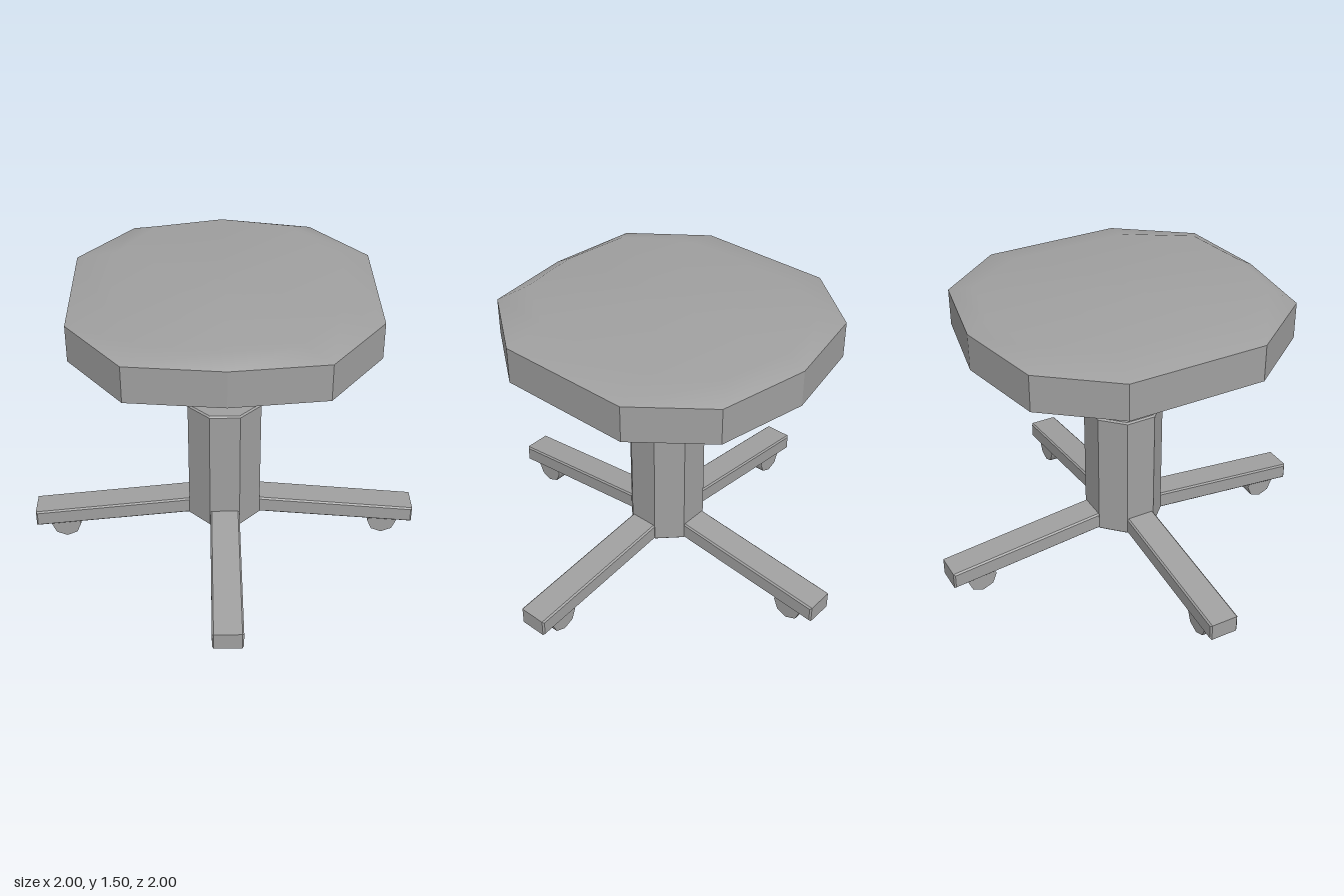
import * as THREE from 'three';
import { toCreasedNormals } from 'three/addons/utils/BufferGeometryUtils.js';

const grey = new THREE.MeshStandardMaterial({ color: 0xa0a0a0 });
grey.name = 'grey';

function part(name, geometry) {
  const mesh = new THREE.Mesh(geometry, grey);
  mesh.name = name;
  return mesh;
}

// Extrudes an outline by depth, with slightly softened edges kept inside it
function softExtrude(points, depth, bevel = 0.008) {
  return new THREE.ExtrudeGeometry(new THREE.Shape(points), {
    depth: depth - 2 * bevel, bevelThickness: bevel, bevelSize: bevel,
    bevelOffset: -bevel, bevelSegments: 1,
  }).translate(0, 0, bevel);
}

// Ten-sided seat outline, mirrored from its left half (back to front)
const half = [[0.46, -0.71], [0.73, -0.37], [0.73, 0.325], [0.46, 0.68]];
const outline = [[0, -0.8], ...half, [0, 0.73], ...half.map(([x, z]) => [-x, z]).reverse()];

// Joins rings of points {scaleX, scaleZ, y}; a zero scale closes the surface
function seatRings(rings) {
  const positions = [], index = [], n = outline.length;
  for (const [sx, sz, y] of rings) {
    for (const [x, z] of outline) positions.push(x * sx, y, z * sz);
  }
  for (let r = 0; r < rings.length - 1; r++) {
    for (let i = 0; i < n; i++) {
      const a = r * n + i, b = r * n + (i + 1) % n;
      if (rings[r][0] > 0) index.push(a, a + n, b);
      if (rings[r + 1][0] > 0) index.push(b, a + n, b + n);
    }
  }
  const geometry = new THREE.BufferGeometry();
  geometry.setAttribute('position', new THREE.Float32BufferAttribute(positions, 3));
  geometry.setIndex(index);
  geometry.computeVertexNormals();
  return geometry;
}

export function createModel() {
  const model = new THREE.Group();
  model.name = 'stool';

  // Seat: softly domed cushion, faceted rim and flat underside
  const seat = new THREE.Group();
  seat.name = 'seat';
  seat.add(
    part('cushionTop', seatRings([[1, 1, 1.44], [0.73, 0.88, 1.49], [0, 0, 1.495]])),
    part('seatRimAndBase', toCreasedNormals(
      seatRings([[0, 0, 1.255], [1, 1, 1.255], [1, 1, 1.44]]), 0.1)),
  );
  model.add(seat);

  // Lift post
  const post = part('post', new THREE.CylinderGeometry(0.066, 0.066, 0.46, 16));
  post.position.y = 1.04;
  model.add(post);

  // Octagonal column
  const octagon = [];
  for (let i = 0; i < 8; i++) {
    const a = (i + 0.5) * Math.PI / 4;
    octagon.push(new THREE.Vector2(Math.cos(a), Math.sin(a)).multiplyScalar(0.2));
  }
  const column = part('column', softExtrude(octagon, 0.685));
  column.rotation.x = -Math.PI / 2;
  column.position.y = 0.157;
  model.add(column);

  // Four sloping legs, each with a caster under its end
  const legSide = [[0.14, 0.16], [0.2, 0.16], [1, 0.08], [1, 0.168], [0.18, 0.252], [0.14, 0.252]]
    .map(([x, y]) => new THREE.Vector2(x, y));
  const legGeometry = softExtrude(legSide, 0.152).translate(0, 0, -0.076);
  const casterGeometry = toCreasedNormals(
    new THREE.CylinderGeometry(0.078, 0.078, 0.116, 8).rotateX(Math.PI / 2).rotateZ(Math.PI / 2), 0.9);
  for (let i = 0; i < 4; i++) {
    const arm = new THREE.Group();
    arm.name = 'leg' + (i + 1);
    const caster = part('caster', casterGeometry);
    caster.position.set(0.845, 0.078, 0);
    arm.add(part('legBeam', legGeometry), caster);
    arm.rotation.y = i * Math.PI / 2;
    model.add(arm);
  }
  return model;
}
